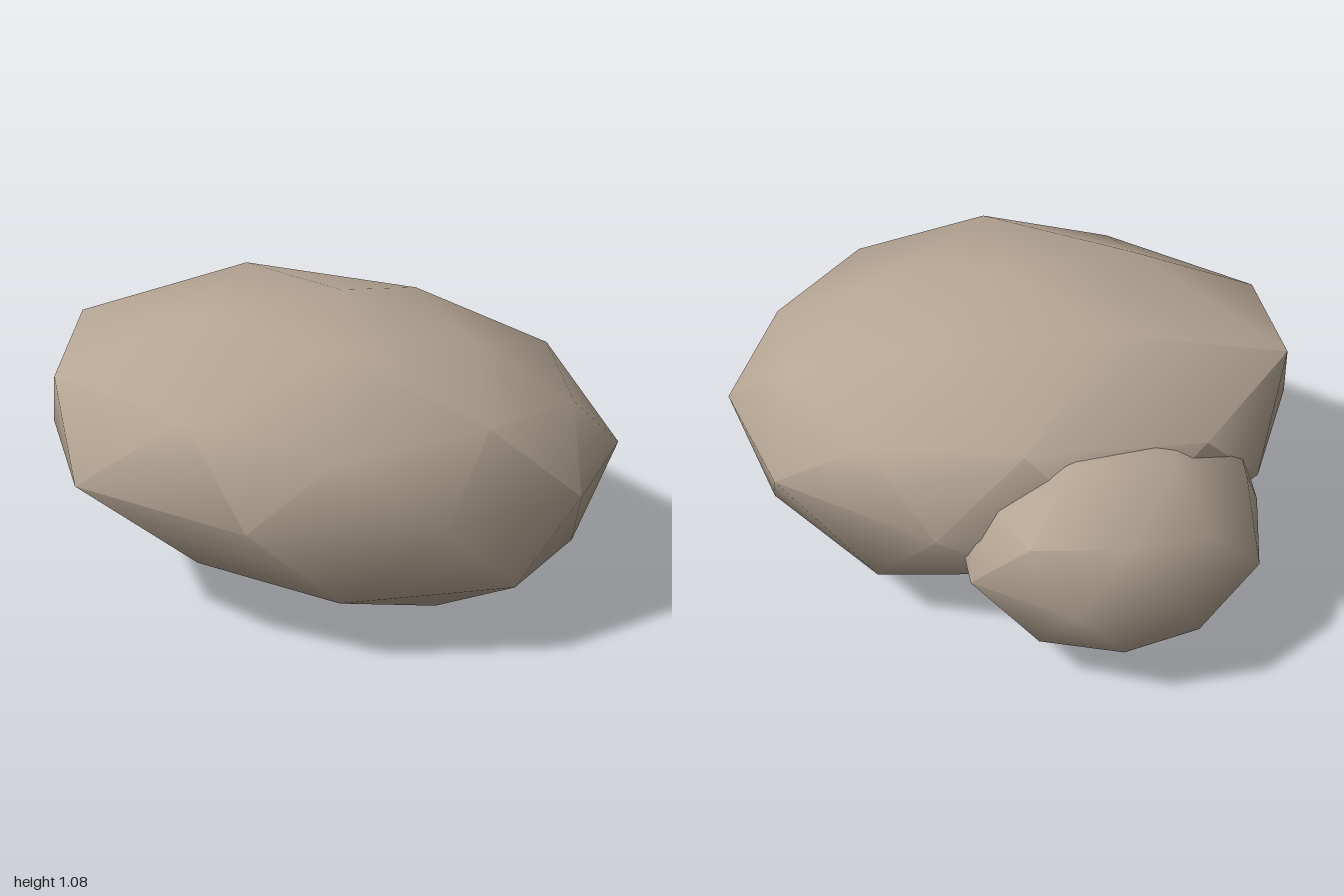
import * as THREE from 'three';
import { toCreasedNormals } from 'three/addons/utils/BufferGeometryUtils.js';

const stone = new THREE.MeshStandardMaterial({ color: 0xb5a594 });
stone.name = 'beige stone';

// Latitude rings of an upright icosphere: lowest y, first azimuth and step in degrees
const RINGS = [
  { minY: 0.7, start: 0, step: 72 },
  { minY: 0.2, start: 0, step: 36 },
  { minY: -0.2, start: 18, step: 36 },
  { minY: -0.7, start: 0, step: 36 },
  { minY: -2, start: 36, step: 72 },
];

// Squashed icosphere whose corners are pushed in or out.
// bumps: one list per ring, each entry a factor or [x, y, z] factors
function rock(name, center, radii, bumps, crease) {
  const geo = new THREE.IcosahedronGeometry(1, 1);
  geo.deleteAttribute('uv');
  geo.rotateZ(-Math.atan(2 / (1 + Math.sqrt(5)))); // a corner points straight up
  const pos = geo.attributes.position;
  const v = new THREE.Vector3();
  for (let i = 0; i < pos.count; i++) {
    v.fromBufferAttribute(pos, i);
    let f = 1;
    if (Math.abs(v.y) < 0.95) {
      const r = RINGS.findIndex((ring) => v.y > ring.minY);
      const { start, step } = RINGS[r];
      const count = 360 / step;
      const azimuth = THREE.MathUtils.radToDeg(Math.atan2(v.z, v.x));
      const k = (Math.round((azimuth - start) / step) + count) % count;
      f = bumps[r]?.[k] ?? 1;
    }
    const [fx, fy, fz] = Array.isArray(f) ? f : [f, f, f];
    pos.setXYZ(i,
      center[0] + v.x * radii[0] * fx,
      center[1] + v.y * radii[1] * fy,
      center[2] + v.z * radii[2] * fz);
  }
  const mesh = new THREE.Mesh(toCreasedNormals(geo, crease), stone);
  mesh.name = name;
  return mesh;
}

export function createModel() {
  const group = new THREE.Group();
  group.name = 'rocks';

  // Broad boulder, bulging on its right side
  group.add(rock('largeRock', [0.035, 0.542, 0.06], [0.96, 0.538, 0.87], [
    [[0.95, 0.89, 1], 1.05, 1.08, [1.17, 1.1, 1.05], 0.95],
    [0.98, 1, 1, 1.05, [1.24, 1.19, 1.12], [1.26, 1.21, 1], [1.18, 1.1, 1.05], 1.05, 1, 0.98],
    [[1.02, 1, 0.9], [1.03, 1, 0.91], 1, [1.2, 1, 1.05], [1.13, 1, 0.97],
      [1.08, 1, 1], 1, 1, [1.1, 1, 0.98], [1.055, 1, 0.93]],
    [[1.06, 1.02, 1], [1.11, 1.06, 1], [0.97, 1.05, 0.97], 0.95, 0.97,
      [1.05, 1.02, 1], 1, 0.95, [1.02, 1.15, 1.02], [1.05, 1.1, 1]],
    [[1.1, 1.08, 0.98], 0.92, [1, 0.93, 1], 0.96, [1.1, 1.05, 0.95]],
  ], 0.9));

  // Smaller stone tucked under the back right
  group.add(rock('smallRock', [-0.46, 0.43, -0.37], [0.54, 0.43, 0.57], [
    [],
    [1, 1, 1, 1, 1, 1, 1, 1, [1.1, 1.1, 1.07], 1],
    [1, 1, 1, 1, 0.97, [1.05, 1, 0.97], [1.07, 1, 0.96], 1, [1.16, 1, 1.04], 0.97],
    [1, 1, 1, 1, 1, 1.02, 1, 1, [1, 1.06, 0.98], 1],
    [],
  ], 0.9));

  return group;
}
